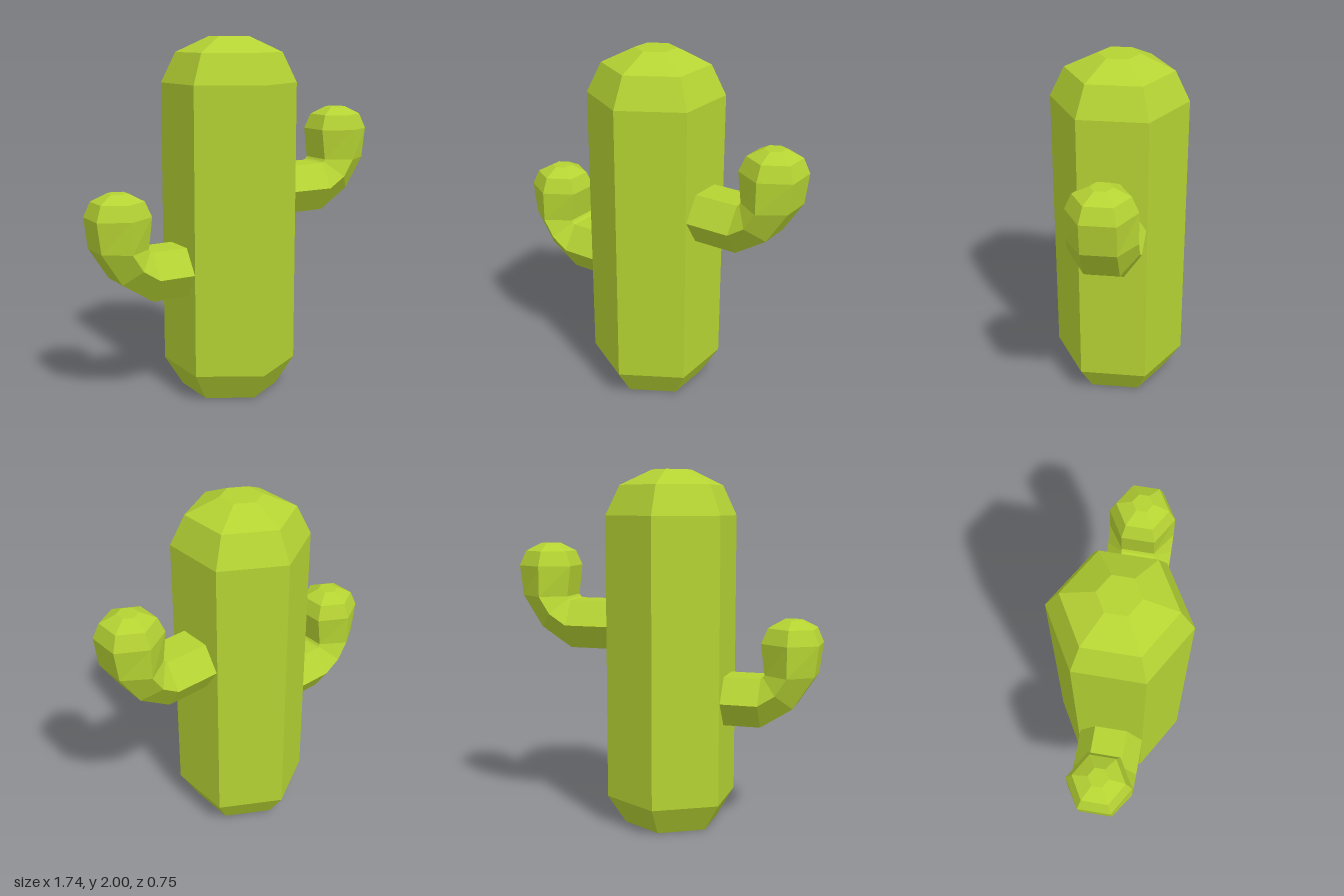
import * as THREE from 'three';

const SIDES = 6;

// Joins hexagonal rings into a closed solid.
// Each ring is { x, y, angle, ru, rz }: centre, tilt of its in-plane axis, radius along that axis and along z.
function loft(rings) {
  const points = rings.map(({ x, y, angle = 0, rz, ru = rz }) =>
    Array.from({ length: SIDES }, (_, k) => {
      const a = (k / SIDES) * Math.PI * 2;
      const u = ru * Math.sin(a);
      return [x + u * Math.cos(angle), y + u * Math.sin(angle), rz * Math.cos(a)];
    }));
  const out = [];
  const tri = (a, b, c) => out.push(...a, ...b, ...c);
  for (let i = 0; i < points.length - 1; i++) {
    for (let k = 0; k < SIDES; k++) {
      const n = (k + 1) % SIDES;
      tri(points[i][k], points[i][n], points[i + 1][n]);
      tri(points[i][k], points[i + 1][n], points[i + 1][k]);
    }
  }
  // End caps
  const first = points[0], last = points[points.length - 1];
  for (let k = 1; k < SIDES - 1; k++) {
    tri(first[0], first[k + 1], first[k]);
    tri(last[0], last[k], last[k + 1]);
  }
  const geometry = new THREE.BufferGeometry();
  geometry.setAttribute('position', new THREE.Float32BufferAttribute(out, 3));
  geometry.computeVertexNormals();
  return geometry;
}

export function createModel() {
  const model = new THREE.Group();
  model.name = 'cactus';
  const green = new THREE.MeshStandardMaterial({ color: 0xb5d333, flatShading: true });

  const add = (name, geometry) => {
    const mesh = new THREE.Mesh(geometry, green);
    mesh.name = name;
    model.add(mesh);
    return mesh;
  };

  // Trunk: tapered foot, straight column, domed top
  const trunk = [[0, 0.272], [0.16, 0.375], [1.75, 0.375], [1.915, 0.295], [2, 0.113]];
  add('trunk', loft(trunk.map(([y, rz]) => ({ x: -0.025, y, rz }))));

  // Arm: runs out sideways, turns up around an inner corner, ends in a small dome
  const r = 0.182, half = 0.157, cornerX = 0.553, cornerY = 1.29;
  const bend = [[-90, half], [-45, 0.135], [0, half]].map(([deg, ru]) => {
    const angle = THREE.MathUtils.degToRad(deg);
    return { x: cornerX + ru * Math.cos(angle), y: cornerY + ru * Math.sin(angle), angle, ru, rz: r };
  });
  const tip = [[1.462, r], [1.546, 0.145], [1.59, 0.057]]
    .map(([y, rz]) => ({ x: cornerX + half, y, rz }));
  const arm = loft([{ ...bend[0], x: 0.295 }, ...bend, ...tip]);

  add('leftArm', arm);
  const rightArm = add('rightArm', arm);
  rightArm.rotation.y = Math.PI;
  rightArm.position.set(-0.003, -0.4, 0.005);

  return model;
}
